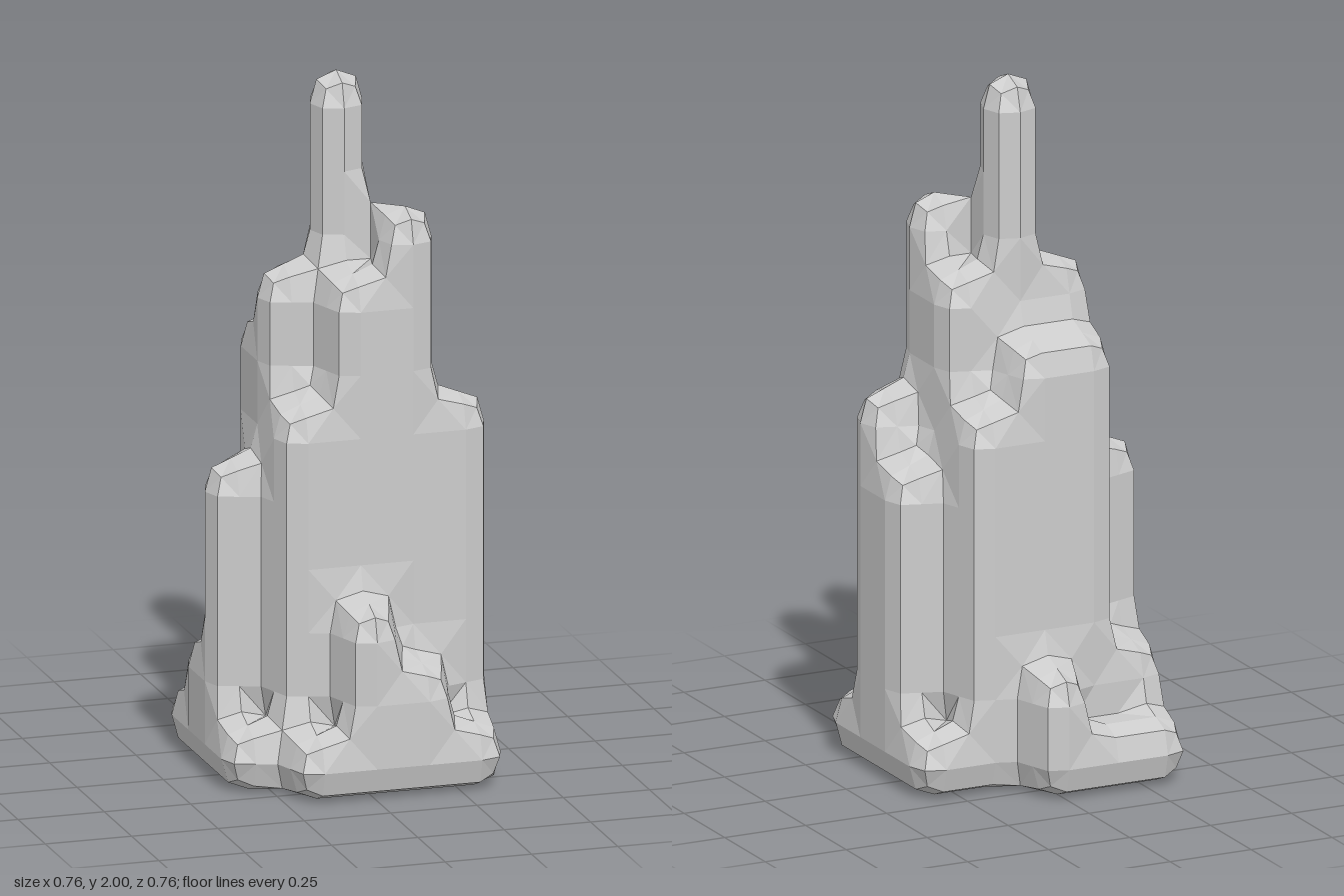
import * as THREE from 'three';

// Column heights in blocks: rows run back to front, entries run from -x to +x
const HEIGHTS = [
  [1, 1, 2, 0, 0],
  [2, 7, 7, 6, 1],
  [5, 8, 11, 8, 5],
  [1, 6, 8, 9, 6],
  [0, 1, 3, 2, 1],
];
const CELL = 0.152, LAYER = 2 / 11;

const columnHeight = (i, k) => HEIGHTS[k]?.[i] ?? 0;

// Shallow hollow under the base, kept one block away from every outer wall
function isHollow(i, j, k) {
  if (j !== 0) return false;
  for (let di = -1; di <= 1; di++)
    for (let dk = -1; dk <= 1; dk++)
      if (columnHeight(i + di, k + dk) === 0) return false;
  return true;
}

const isSolid = (i, j, k) => j >= 0 && j < columnHeight(i, k) && !isHollow(i, j, k);

// Outer faces of the stacked blocks, as quads of grid corners
function blockFaces() {
  const faces = [];
  for (let i = 0; i < 5; i++) for (let k = 0; k < 5; k++)
    for (let j = 0; j < columnHeight(i, k); j++) {
      const cell = [i, j, k];
      if (!isSolid(...cell)) continue;
      for (let a = 0; a < 3; a++) for (const s of [-1, 1]) {
        const next = [...cell];
        next[a] += s;
        if (isSolid(...next)) continue;
        const quad = [[0, 0], [1, 0], [1, 1], [0, 1]].map(([u, v]) => {
          const c = [...cell];
          if (s > 0) c[a]++;
          c[(a + 1) % 3] += u;
          c[(a + 2) % 3] += v;
          return c;
        });
        faces.push(s > 0 ? quad : quad.reverse());
      }
    }
  return faces;
}

const toPoint = ([i, j, k]) => new THREE.Vector3((i - 2.5) * CELL, j * LAYER, (k - 2.5) * CELL);
const average = (points) =>
  points.reduce((sum, p) => sum.add(p), new THREE.Vector3()).divideScalar(points.length);

// One round of subdivision, which rounds the block edges and fills the inner corners
function roundedGeometry(faces) {
  const corners = new Map(), edges = new Map();
  const entry = (map, key, make) => {
    if (!map.has(key)) map.set(key, make());
    return map.get(key);
  };
  const quads = faces.map((face) => {
    const points = face.map(toPoint);
    const center = average(points);
    const cs = face.map((c, n) =>
      entry(corners, c.join(), () => ({ p: points[n], centers: [], edges: new Set() })));
    const es = face.map((c, n) => {
      const m = (n + 1) % 4;
      const key = [c.join(), face[m].join()].sort().join('|');
      const edge = entry(edges, key, () => ({ mid: average([points[n], points[m]]), centers: [] }));
      edge.centers.push(center);
      cs[n].edges.add(edge);
      cs[m].edges.add(edge);
      return edge;
    });
    cs.forEach((c) => c.centers.push(center));
    return { center, cs, es };
  });

  for (const e of edges.values()) e.out = average([e.mid, average(e.centers)]);
  for (const c of corners.values()) {
    const n = c.centers.length;
    c.out = average(c.centers)
      .addScaledVector(average([...c.edges].map((e) => e.mid)), 2)
      .addScaledVector(c.p, n - 3)
      .divideScalar(n);
  }

  const positions = [];
  for (const { center, cs, es } of quads)
    for (let n = 0; n < 4; n++) {
      const a = cs[n].out, b = es[n].out, d = es[(n + 3) % 4].out;
      for (const p of [a, b, center, a, center, d]) positions.push(p.x, p.y, p.z);
    }
  const geometry = new THREE.BufferGeometry();
  geometry.setAttribute('position', new THREE.Float32BufferAttribute(positions, 3));
  geometry.computeVertexNormals();
  return geometry;
}

export function createModel() {
  const group = new THREE.Group();
  group.name = 'rockSpire';
  const material = new THREE.MeshStandardMaterial({ color: 0xcccccc, flatShading: true });
  const rock = new THREE.Mesh(roundedGeometry(blockFaces()), material);
  rock.name = 'steppedRock';
  group.add(rock);
  return group;
}
